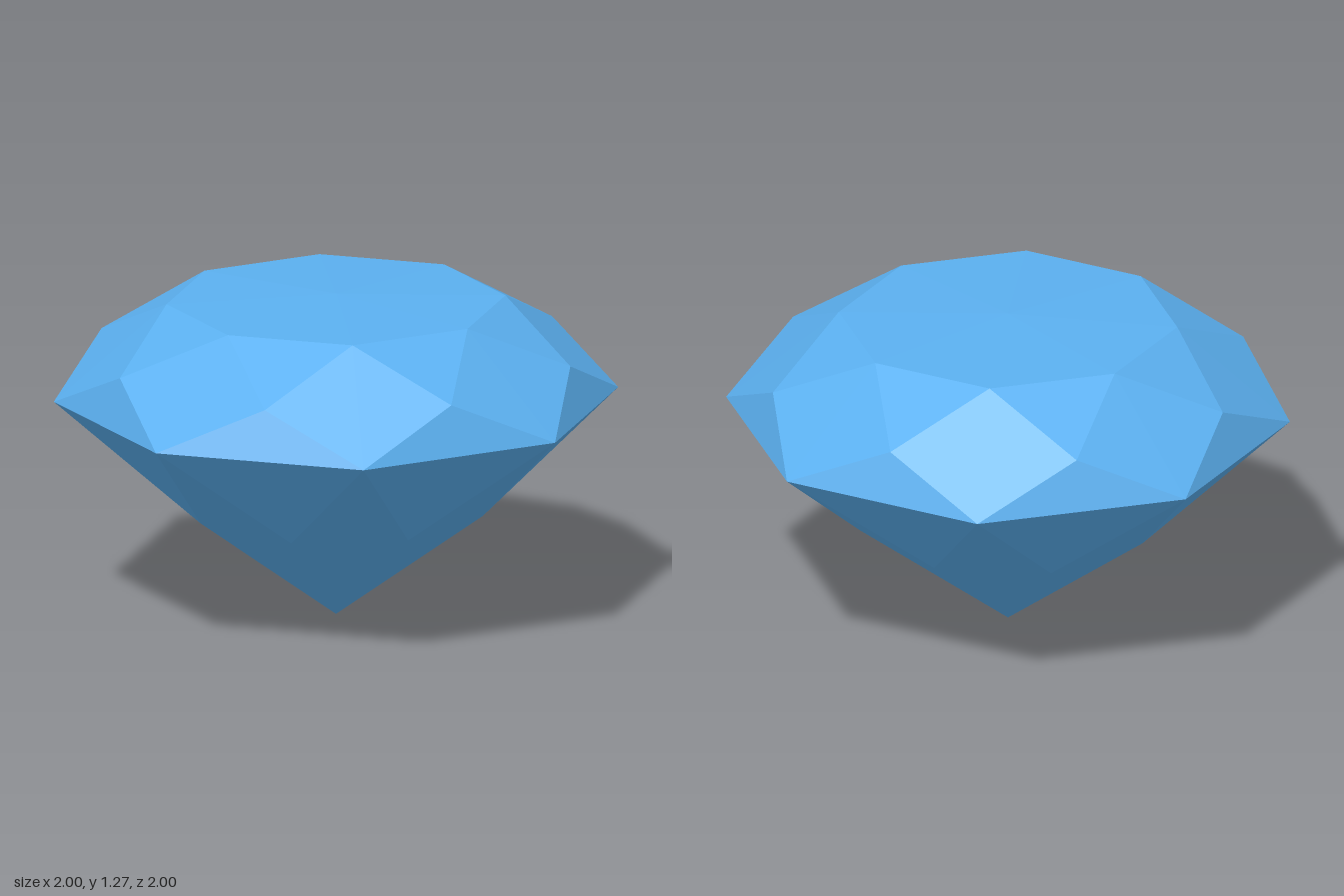
import * as THREE from 'three';

const SIDES = 8;
const STEP = (Math.PI * 2) / SIDES;

// Ring of points; offset 0.5 puts the corners between the main axes
function ring(radius, y, offset) {
  return Array.from({ length: SIDES }, (_, i) => {
    const a = (i + offset) * STEP;
    return new THREE.Vector3(Math.sin(a) * radius, y, Math.cos(a) * radius);
  });
}

function facetMesh(name, triangles, material) {
  const geometry = new THREE.BufferGeometry().setFromPoints(triangles.flat());
  geometry.computeVertexNormals();
  const mesh = new THREE.Mesh(geometry, material);
  mesh.name = name;
  return mesh;
}

export function createModel() {
  const gem = new THREE.Group();
  gem.name = 'gem';
  const material = new THREE.MeshStandardMaterial({ color: 0x5bb0f0, flatShading: true });

  const girdle = ring(1 / Math.cos(STEP / 2), 0.87, 0.5);
  const crownMid = ring(0.935, 1.057, 0);
  const tableRim = ring(0.65, 1.245, 0.5);
  const pavilionMid = ring(0.585, 0.435, 0);
  const top = new THREE.Vector3(0, 1.27, 0);
  const tip = new THREE.Vector3(0, 0, 0);

  const crown = [], table = [], pavilion = [];
  for (let i = 0; i < SIDES; i++) {
    const p = (i + SIDES - 1) % SIDES; // corner before middle point i
    const n = (i + 1) % SIDES;         // middle point after corner i
    crown.push(
      [girdle[p], girdle[i], crownMid[i]],      // lower triangle
      [girdle[i], crownMid[n], tableRim[i]],    // kite, two halves
      [girdle[i], tableRim[i], crownMid[i]],
      [crownMid[i], tableRim[i], tableRim[p]],  // star triangle
    );
    table.push([tableRim[p], tableRim[i], top]);
    pavilion.push(
      [girdle[i], girdle[p], pavilionMid[i]],   // upper triangle
      [girdle[i], tip, pavilionMid[n]],         // long kite, two halves
      [girdle[i], pavilionMid[i], tip],
    );
  }

  gem.add(
    facetMesh('crown', crown, material),
    facetMesh('table', table, material),
    facetMesh('pavilion', pavilion, material),
  );
  return gem;
}
